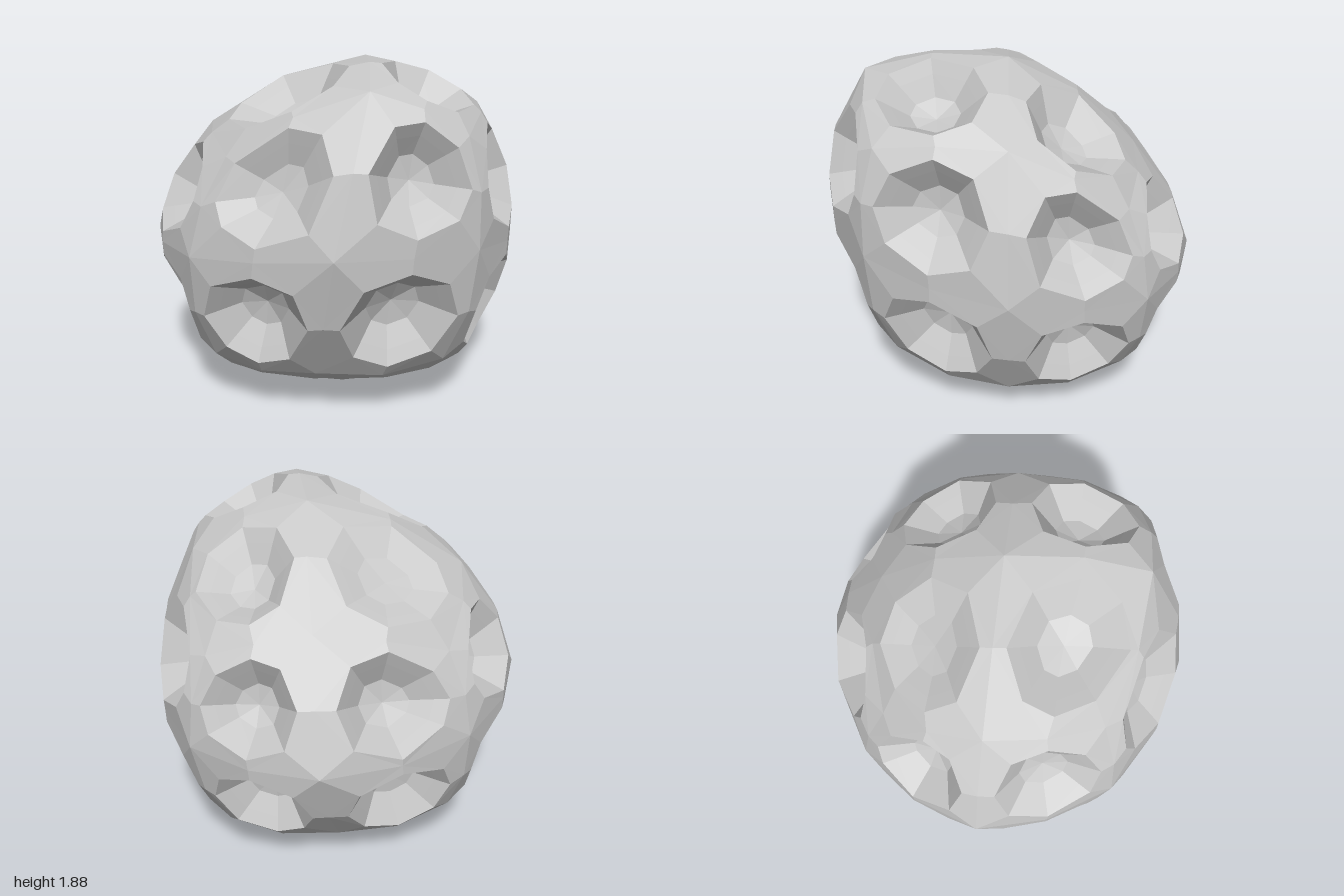
import * as THREE from 'three';

const V = (x, y, z) => new THREE.Vector3(x, y, z);
const CORE = V(0, 0.88, 0);

// Control points of the rock, keyed by the signs of x, y, z (cube face centres, edges, corners)
const points = {
  '1,0,0': V(1, 0.86, 0), '-1,0,0': V(-1, 0.86, 0),
  '0,1,0': V(0.17, 1.85, 0), '0,-1,0': V(0.02, 0, 0),
  '0,0,1': V(0.04, 1.04, 1), '0,0,-1': V(0.17, 0.77, -1),
  '0,1,1': V(0.2, 1.8, 0.73), '0,1,-1': V(0.18, 1.39, -0.66),
  '0,-1,1': V(-0.07, 0.29, 0.68), '0,-1,-1': V(0.05, 0.2, -0.68),
  '1,1,0': V(0.78, 1.6, 0), '-1,1,0': V(-0.67, 1.48, 0),
  '1,-1,0': V(0.75, 0.2, 0), '-1,-1,0': V(-0.66, 0.23, -0.03),
  '1,0,1': V(0.75, 1.01, 0.72), '-1,0,1': V(-0.7, 0.94, 0.7),
  '1,0,-1': V(0.81, 0.8, -0.7), '-1,0,-1': V(-0.63, 0.79, -0.68),
  '1,1,1': V(0.68, 1.57, 0.65), '-1,1,1': V(-0.51, 1.44, 0.6),
  '1,1,-1': V(0.71, 1.26, -0.59), '-1,1,-1': V(-0.52, 1.22, -0.55),
  '1,-1,1': V(0.6, 0.35, 0.6), '-1,-1,1': V(-0.61, 0.33, 0.55),
  '1,-1,-1': V(0.63, 0.28, -0.61), '-1,-1,-1': V(-0.55, 0.3, -0.59),
};

// Shallower craters, keyed by face axis and corner; the rest use the default depth
const shallow = {
  '1:-1,1,-1': 0.06, '1:-1,1,1': 0.14, '1:1,1,-1': 0.14,
  '2:-1,1,1': 0.12, '0:-1,1,1': 0.14,
};
const DEPTH = 0.17;

const pushOut = (p, d) => p.addScaledVector(p.clone().sub(CORE).normalize(), d);
const bulgedMid = (a, b) => pushOut(a.clone().lerp(b, 0.5), 0.08 * a.distanceTo(b));
const average = (list) =>
  list.reduce((s, p) => s.add(p), V(0, 0, 0)).divideScalar(list.length);

// Joins two loops of eight points, the outer one first, with faces turned outward
function band(out, outer, inner) {
  for (let i = 0; i < 8; i++) {
    const j = (i + 1) % 8;
    const [a, b, c, d] = [outer[i], outer[j], inner[j], inner[i]];
    if (i % 2) out.push(a, b, c, a, c, d);
    else out.push(a, b, d, b, c, d);
  }
}

function facetMesh(verts, material, name) {
  const geometry = new THREE.BufferGeometry().setFromPoints(verts);
  geometry.computeVertexNormals(); // unshared corners give flat facets
  const mesh = new THREE.Mesh(geometry, material);
  mesh.name = name;
  return mesh;
}

export function createModel() {
  const group = new THREE.Group();
  group.name = 'crateredRock';
  const stone = new THREE.MeshStandardMaterial({ color: 0xc8c8c8, flatShading: true });
  stone.name = 'grey stone';
  const crust = [];

  // Four patches on each of the six sides, one crater in each
  for (let axis = 0; axis < 3; axis++) {
    for (let n = 0; n < 8; n++) {
      const s = [n & 1 ? 1 : -1, n & 2 ? 1 : -1, n & 4 ? 1 : -1];
      const at = (...axes) => points[s.map((v, k) => (axes.includes(k) ? v : 0)).join(',')];
      const u = (axis + 1) % 3, w = (axis + 2) % 3;
      const quad = [at(axis), at(axis, u), at(0, 1, 2), at(axis, w)];
      if (s[0] * s[1] * s[2] < 0) quad.reverse();

      // Patch border: corners at even places, bulged midpoints at odd ones
      const border = quad.flatMap((p, i) => [p, bulgedMid(p, quad[(i + 1) % 4])]);
      const mids = border.filter((p, i) => i % 2);
      const centre = pushOut(average(mids), 0.065);

      // Rounded eight-sided rim
      const radius = 0.79 * mids.reduce((t, p) => t + p.distanceTo(centre), 0) / 4;
      const rim = border.map((p, i) => {
        const len = p.distanceTo(centre);
        const own = i % 2 ? 0.79 * len : 0.59 * len;
        return pushOut(centre.clone().lerp(p, (0.5 * own + 0.5 * radius) / len), i % 2 ? 0.01 : 0.02);
      });
      band(crust, border, rim);

      // Bowl: a sloping lip, a steeper wall and a shallow cone for the floor
      const rimCentre = average(rim);
      const normal = V(0, 0, 0);
      rim.forEach((p, i) => normal.add(
        p.clone().sub(rimCentre).cross(rim[(i + 1) % 8].clone().sub(rimCentre))));
      normal.normalize();
      const depth = shallow[`${axis}:${s.join(',')}`] || DEPTH;
      const ring = (f, d) => rim.map((p) =>
        rimCentre.clone().lerp(p, f).addScaledVector(normal, -d * depth));
      const bowl = [];
      const lip = ring(0.78, 0.32), wall = ring(0.46, 0.8);
      const bottom = rimCentre.clone().addScaledVector(normal, -depth);
      band(bowl, rim, lip);
      band(bowl, lip, wall);
      wall.forEach((p, i) => bowl.push(p, wall[(i + 1) % 8], bottom));
      group.add(facetMesh(bowl, stone, 'crater'));
    }
  }
  group.add(facetMesh(crust, stone, 'crust'));
  return group;
}
